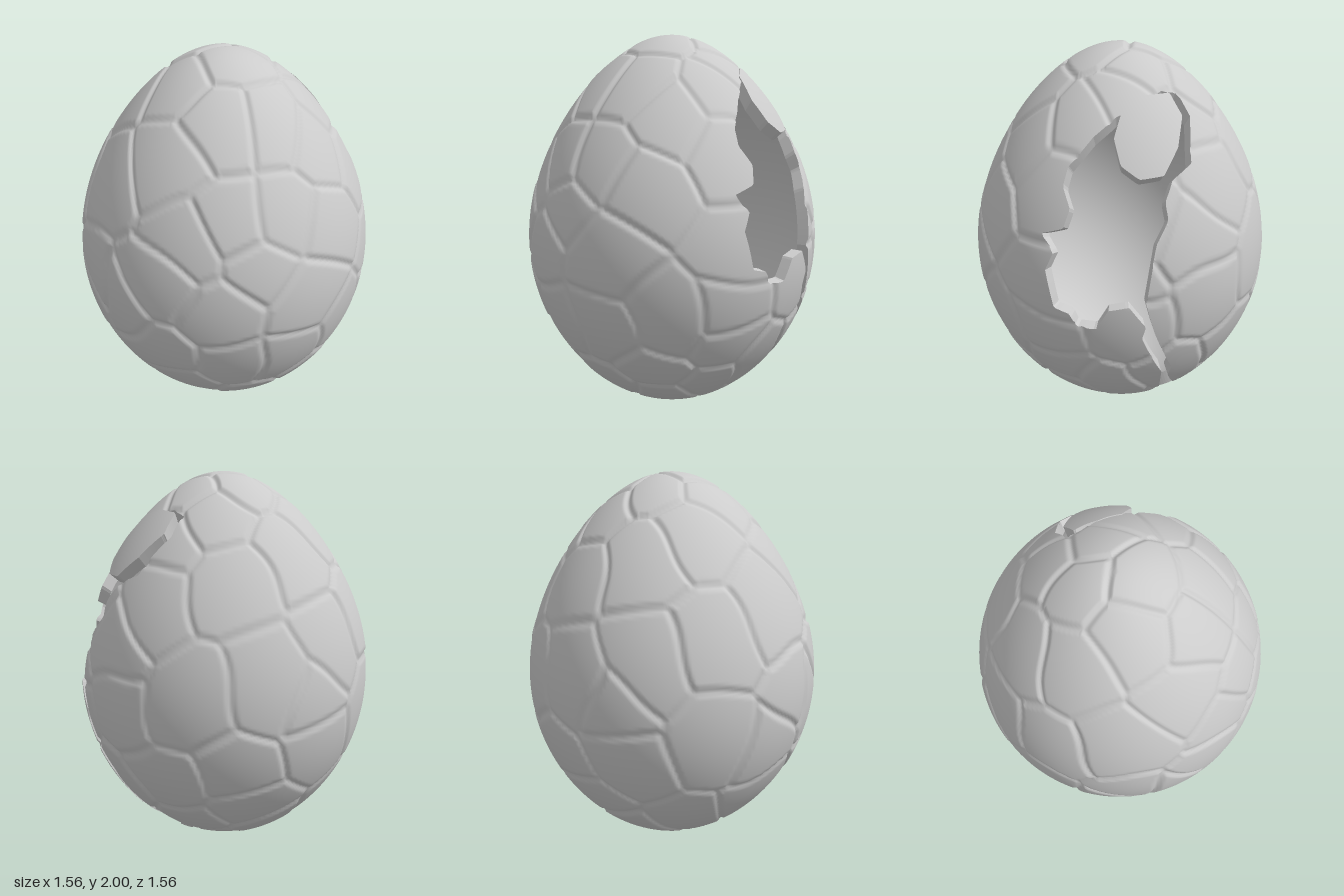
import * as THREE from 'three';
import { mergeVertices } from 'three/addons/utils/BufferGeometryUtils.js';

const V = (x, y, z) => new THREE.Vector3(x, y, z);
const CENTRE = V(0, 0.95, 0), INNER = 0.925;

// Egg profile: radius at height 1 + c
const radius = c => Math.sqrt(Math.max(0, 1 - c * c)) * (0.777 - 0.08 * c - 0.09 * c * c);
const eggPoint = (c, t) => V(radius(c) * Math.sin(t), 1 + c, radius(c) * Math.cos(t));

// Plates mirrored about the front centre line, as [x, height above the middle]
const FRONT_PLATES = [[0.14, 0.76], [0.13, 0.38], [0.37, 0.62], [0.36, 0.27], [0.23, -0.04], [0.5, -0.38],
  [0.13, -0.45], [0.33, -0.68]];

// Outline of the hole and the slit below it as [z, y], on the +x side
const HOLE = [[0.07, 1.67], [0.18, 1.54], [0.2, 1.46], [0.16, 1.37], [0.19, 1.28], [0.3, 1.24], [0.24, 1.16],
  [0.28, 1.07], [0.24, 0.88], [0.16, 0.86], [0.13, 0.79], [0.03, 0.79], [-0.03, 0.9], [-0.13, 0.92],
  [-0.21, 0.8], [-0.19, 0.73], [-0.28, 0.46], [-0.26, 0.25], [-0.12, 0.09], [-0.17, 0.06], [-0.35, 0.17],
  [-0.31, 0.41], [-0.33, 0.49], [-0.25, 0.76], [-0.21, 0.93], [-0.25, 1.22], [-0.3, 1.32], [-0.28, 1.4],
  [-0.31, 1.49], [-0.39, 1.54], [-0.37, 1.72], [-0.3, 1.82], [-0.23, 1.84], [-0.03, 1.75]];

// Loose plate: an uneven nine-sided outline
const FRAGMENT = Array.from({ length: 9 }, (_, i) => {
  const a = i * Math.PI * 2 / 9, r = 0.157 + 0.01 * Math.sin(i * 2.3);
  return [-0.185 + r * Math.cos(a), 1.67 + r * 1.1 * Math.sin(a)];
});

// Plate centres: the front pairs, then a jittered spiral over the rest of the egg
function plateSeeds() {
  const seeds = FRONT_PLATES.flatMap(([x, c]) =>
    [1, -1].map(side => eggPoint(c, side * Math.asin(x / radius(c)))));
  const count = 88, golden = Math.PI * (3 - Math.sqrt(5));
  for (let i = 0; i < count; i++) {
    const c = 1 - (2 * i + 1) / count + 0.06 * Math.sin(i * 5.1);
    const p = eggPoint(THREE.MathUtils.clamp(c, -0.99, 0.99), i * golden + 0.2 * Math.sin(i * 3.7));
    if (seeds.every(s => s.distanceTo(p) > 0.22)) seeds.push(p);
  }
  return seeds;
}

// Surface relief: slightly uneven plates parted by grooves
function relief(seeds, point) {
  const p = point.clone().add(V(
    Math.sin(point.y * 11 + point.z * 7), Math.sin(point.z * 12 + point.x * 6),
    Math.sin(point.x * 11 + point.y * 8)).multiplyScalar(0.018));
  let a = 0, b = 0, da = Infinity, db = Infinity;
  seeds.forEach((s, i) => {
    const d = s.distanceToSquared(p);
    if (d < da) { b = a; db = da; a = i; da = d; } else if (d < db) { b = i; db = d; }
  });
  const edge = (db - da) / (2 * seeds[a].distanceTo(seeds[b]));
  const lift = 0.003 * Math.sin(a * 2.4);
  return -0.013 + (0.013 + lift) * THREE.MathUtils.smoothstep(edge, 0, 0.027);
}

// Signed distance to an outline, positive inside
function outlineDistance(outline, p) {
  if (p.x <= 0) return -1;
  let best = Infinity, inside = false;
  outline.forEach(([ax, ay], i) => {
    const [bx, by] = outline[(i + 1) % outline.length];
    const dx = bx - ax, dy = by - ay, px = p.z - ax, py = p.y - ay;
    const t = THREE.MathUtils.clamp((px * dx + py * dy) / (dx * dx + dy * dy), 0, 1);
    best = Math.min(best, Math.hypot(px - t * dx, py - t * dy));
    if ((ay > p.y) !== (by > p.y) && p.z < ax + dx * (p.y - ay) / dy) inside = !inside;
  });
  return inside ? best : -best;
}

// Egg grid clipped to keep(p) > 0; collects the skin triangles and the cut edges
function clippedSkin(nu, nv, keep, height) {
  const grid = [], tris = [], cuts = [];
  for (let j = 0; j <= nv; j++) {
    for (let i = 0; i <= nu; i++) {
      const base = eggPoint(Math.cos(Math.PI * j / nv), 2 * Math.PI * (i % nu) / nu);
      const outer = base.clone().addScaledVector(base.clone().sub(CENTRE).normalize(), height(base));
      grid.push({ base, outer, f: keep(base) });
    }
  }
  const clip = tri => {
    const poly = [], cut = [];
    tri.forEach((a, k) => {
      const b = tri[(k + 1) % 3];
      if (a.f > 0) poly.push(a);
      if ((a.f > 0) !== (b.f > 0)) {
        const t = a.f / (a.f - b.f);
        const v = { base: a.base.clone().lerp(b.base, t), outer: a.outer.clone().lerp(b.outer, t) };
        poly.push(v);
        cut.push(v);
      }
    });
    for (let k = 2; k < poly.length; k++) tris.push([poly[0], poly[k - 1], poly[k]]);
    if (cut.length === 2) cuts.push(cut);
  };
  for (let j = 0; j < nv; j++) {
    for (let i = 0; i < nu; i++) {
      const a = grid[j * (nu + 1) + i], d = grid[j * (nu + 1) + i + 1];
      const b = grid[(j + 1) * (nu + 1) + i], c = grid[(j + 1) * (nu + 1) + i + 1];
      if (j < nv - 1) clip([a, b, c]);
      if (j > 0) clip([a, c, d]);
    }
  }
  return { tris, cuts };
}

const inward = v => v.base.clone().sub(CENTRE).multiplyScalar(INNER).add(CENTRE);

function makeMesh(name, points, smooth, side = THREE.FrontSide) {
  let geometry = new THREE.BufferGeometry().setFromPoints(points);
  if (smooth) geometry = mergeVertices(geometry, 1e-5);
  geometry.computeVertexNormals();
  const mesh = new THREE.Mesh(geometry, new THREE.MeshStandardMaterial({ color: 0xcccccc, side }));
  mesh.name = name;
  return mesh;
}

// A thick piece of shell: outer skin, inner skin and the broken edge between them
function shellPiece(name, keep, height) {
  const group = new THREE.Group();
  group.name = name;
  const out = clippedSkin(315, 180, keep, height);
  const inn = clippedSkin(140, 80, keep, () => 0);
  const rim = out.cuts.flatMap(([a, b]) => {
    const c = inward(a), d = inward(b);
    return [a.outer, b.outer, d, a.outer, d, c];
  });
  group.add(
    makeMesh(name + 'Outside', out.tris.flatMap(t => t.map(v => v.outer)), true),
    makeMesh(name + 'Inside', inn.tris.flatMap(([a, b, c]) => [inward(a), inward(c), inward(b)]), true),
    makeMesh(name + 'BrokenEdge', rim, false, THREE.DoubleSide));
  return group;
}

export function createModel() {
  const model = new THREE.Group();
  model.name = 'crackedEgg';
  const seeds = plateSeeds();

  // Main shell with the hatched hole and the slit below it
  model.add(shellPiece('shell', p => -outlineDistance(HOLE, p), p => relief(seeds, p)));

  // Loose plate hanging at the top of the hole
  const fragment = shellPiece('looseFragment', p => outlineDistance(FRAGMENT, p), () => 0);
  fragment.position.set(0.005, 0, 0);
  model.add(fragment);
  return model;
}
